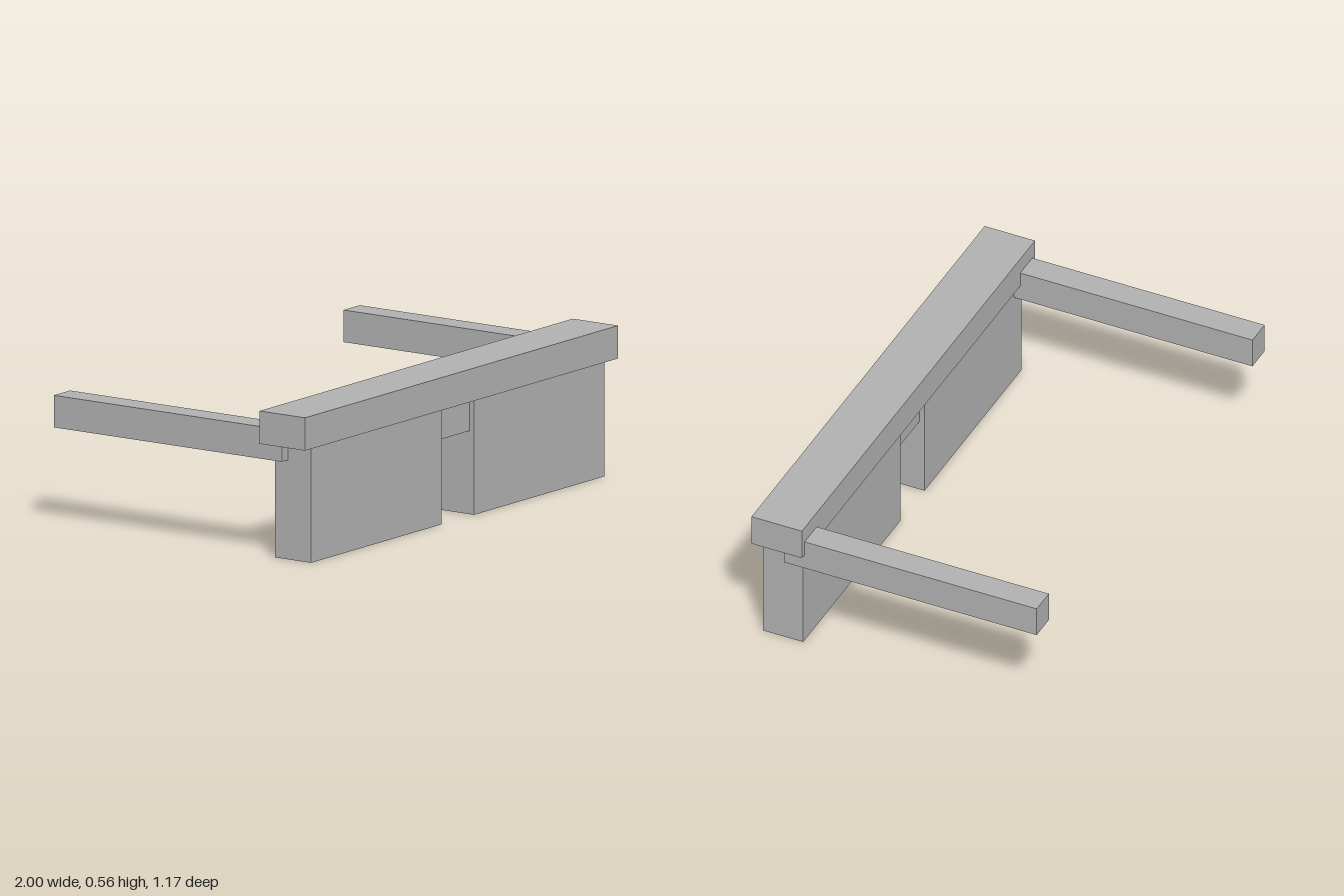
import * as THREE from 'three';

const grey = new THREE.MeshStandardMaterial({ color: 0xb0b0b0 });
grey.name = 'plain grey';

// Box given by its min and max extents on each axis
function block(name, [x0, x1], [y0, y1], [z0, z1]) {
  const mesh = new THREE.Mesh(new THREE.BoxGeometry(x1 - x0, y1 - y0, z1 - z0), grey);
  mesh.position.set((x0 + x1) / 2, (y0 + y1) / 2, (z0 + z1) / 2);
  mesh.name = name;
  return mesh;
}

export function createModel() {
  const glasses = new THREE.Group();
  glasses.name = 'blockGlasses';

  // Brow bar across the top, and the nose bridge below it
  glasses.add(block('browBar', [-1, 1], [0.44, 0.565], [0.375, 0.583]));
  glasses.add(block('noseBridge', [-0.104, 0.104], [0.317, 0.44], [0.42, 0.545]));

  // Mirrored lenses and temple arms
  for (const [side, s] of [['left', 1], ['right', -1]]) {
    const span = (a, b) => (s > 0 ? [a, b] : [-b, -a]);
    glasses.add(block(side + 'Lens', span(0.104, 0.937), [0, 0.44], [0.4, 0.565]));
    glasses.add(block(side + 'Arm', span(0.873, 0.977), [0.378, 0.5], [-0.583, 0.46]));
  }
  return glasses;
}
